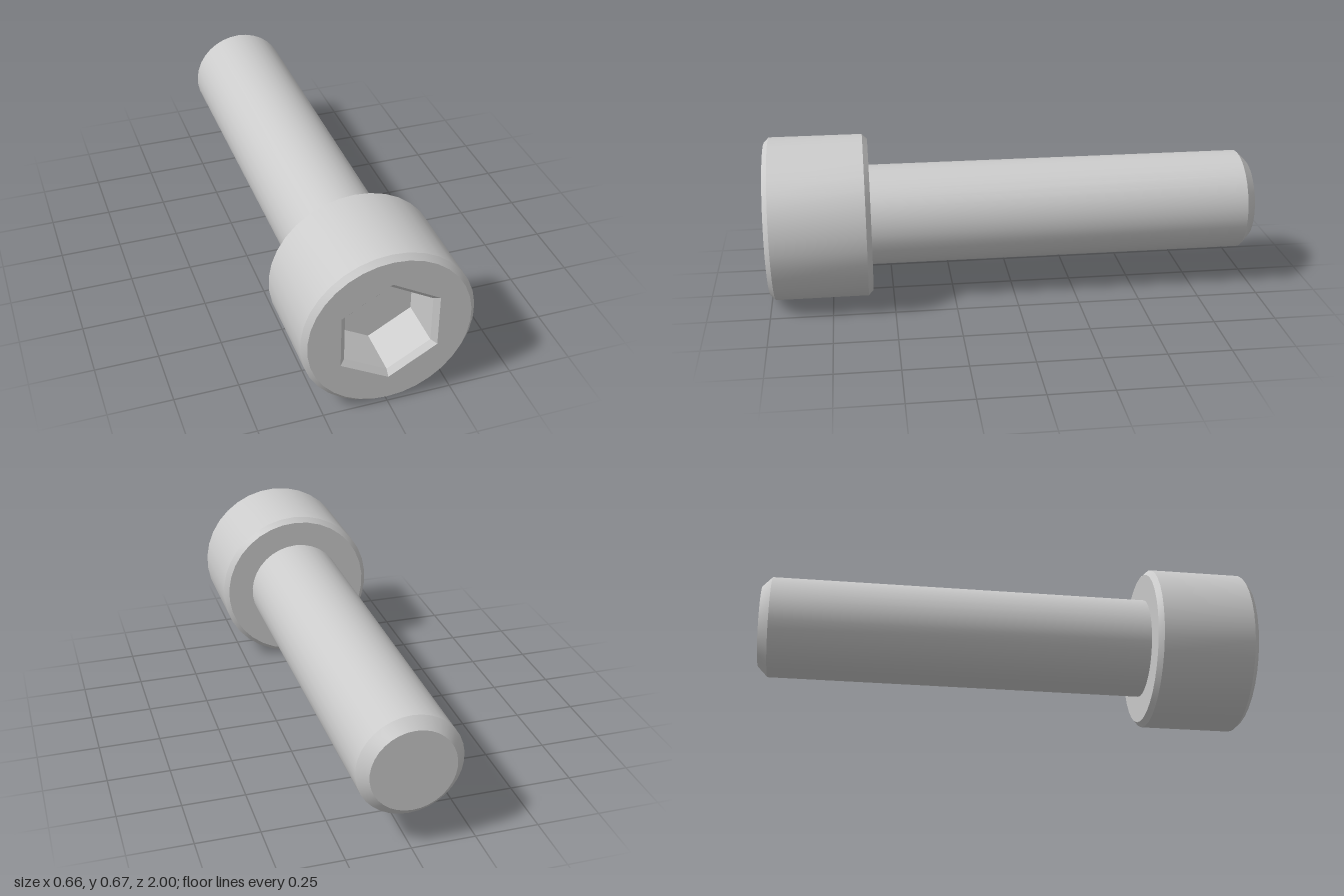
import * as THREE from 'three';
import { toCreasedNormals } from 'three/addons/utils/BufferGeometryUtils.js';

const SIDES = 34;
const HEAD_R = 0.333, FACE_R = 0.313, SHANK_R = 0.205, SOCKET_R = 0.216;
const HEAD_BACK = 0.585, CHAMFER = 0.02;

const material = new THREE.MeshStandardMaterial({ color: 0xcccccc });

// Revolve [radius, z] pairs around the z axis
function turned(name, profile, sides) {
  const points = profile.map(([r, z]) => new THREE.Vector2(r, z));
  const geometry = new THREE.LatheGeometry(points, sides).rotateX(Math.PI / 2);
  const mesh = new THREE.Mesh(toCreasedNormals(geometry, 0.4), material);
  mesh.name = name;
  return mesh;
}

// Regular polygon with a corner pointing straight down
function polygon(radius, sides) {
  return Array.from({ length: sides }, (_, i) => {
    const a = (i / sides) * Math.PI * 2;
    return new THREE.Vector2(radius * Math.sin(a), -radius * Math.cos(a));
  });
}

export function createModel() {
  const bolt = new THREE.Group();
  bolt.name = 'socketHeadBolt';

  // Shank with chamfered tip
  bolt.add(turned('shank', [
    [0, -1], [0.165, -1], [SHANK_R, -0.96], [SHANK_R, HEAD_BACK],
  ], SIDES));

  // Head: underside, chamfers and outer wall
  bolt.add(turned('head', [
    [SHANK_R, HEAD_BACK], [FACE_R, HEAD_BACK], [HEAD_R, HEAD_BACK + CHAMFER],
    [HEAD_R, 1 - CHAMFER], [FACE_R, 1],
  ], SIDES));

  // Front face with hexagonal opening
  const face = new THREE.Shape(polygon(FACE_R, SIDES));
  face.holes.push(new THREE.Path(polygon(SOCKET_R, 6)));
  const headFace = new THREE.Mesh(new THREE.ShapeGeometry(face), material);
  headFace.name = 'headFace';
  headFace.position.z = 1;
  bolt.add(headFace);

  // Hexagonal socket: chamfered rim, walls and floor
  bolt.add(turned('hexSocket', [
    [SOCKET_R, 1], [0.193, 1 - CHAMFER], [0.193, 0.79], [0, 0.79],
  ], 6));

  bolt.position.y = HEAD_R;
  const model = new THREE.Group();
  model.add(bolt);
  return model;
}
